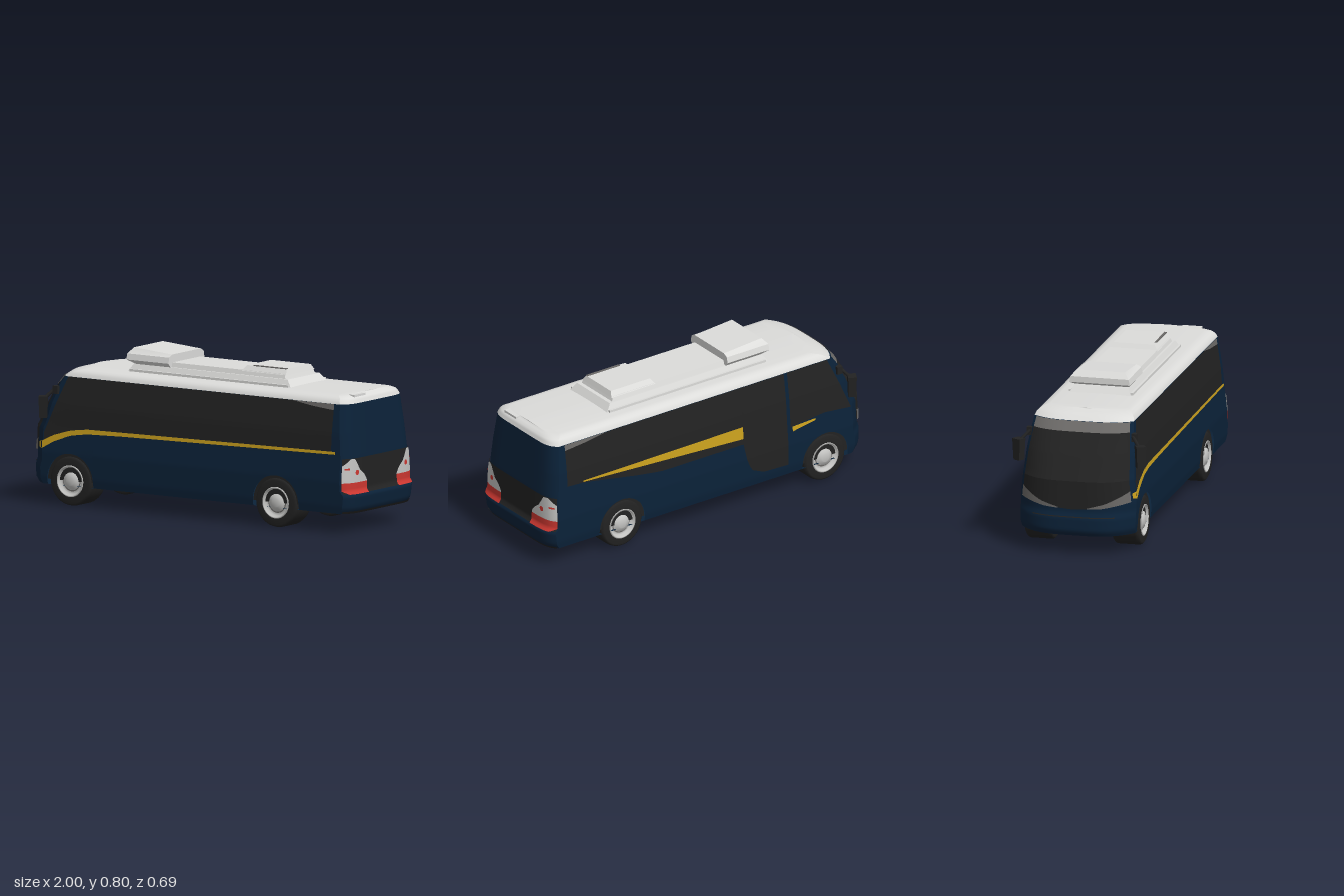
import * as THREE from 'three';

const paint = (name, color, side = THREE.DoubleSide) => {
  const m = new THREE.MeshStandardMaterial({ color, side });
  m.name = name;
  return m;
};

// Piecewise-linear curve through [input, value] pairs
const curve = (...pts) => (t) => {
  if (t <= pts[0][0]) return pts[0][1];
  for (let i = 1; i < pts.length; i++) {
    const [a, va] = pts[i - 1], [b, vb] = pts[i];
    if (t <= b) return va + (vb - va) * (t - a) / (b - a);
  }
  return pts[pts.length - 1][1];
};
const range = (a, b, n) => Array.from({ length: n + 1 }, (_, i) => a + (b - a) * i / n);

// Body rules by height: half width, front x, rear x, and depth of the rounded ends
const halfW = curve([0.1, 0.29], [0.14, 0.296], [0.26, 0.298], [0.38, 0.286], [0.5, 0.277], [0.645, 0.256],
  [0.66, 0.25], [0.672, 0.238], [0.68, 0.222], [0.685, 0.2]);
const frontX = curve([0.1, -0.985], [0.125, -1], [0.19, -1], [0.22, -0.988], [0.38, -0.988], [0.5, -0.92],
  [0.6, -0.855], [0.645, -0.815], [0.66, -0.795], [0.672, -0.775], [0.685, -0.72]);
const rearX = curve([0.1, 0.975], [0.125, 0.992], [0.19, 1], [0.215, 0.978], [0.38, 0.976], [0.645, 0.952],
  [0.672, 0.94], [0.685, 0.91]);
const noseD = curve([0.1, 0.12], [0.4, 0.12], [0.645, 0.06]);
const tailD = () => 0.045;

// Surface points: side walls by x, nose and tail by fraction s of the half width
const side = (sg) => (x, y, off) => [
  THREE.MathUtils.clamp(x, frontX(y) + noseD(y), rearX(y) - tailD()), y, sg * (halfW(y) + off)];
const nose = (s, y, off) => [frontX(y) + noseD(y) * Math.abs(s) ** 3.5 - off, y, s * (halfW(y) + off)];
const tail = (s, y, off) => [rearX(y) - tailD() * Math.abs(s) ** 8 + off, y, s * (halfW(y) + off)];
const bow = range(-Math.PI / 2, Math.PI / 2, 32).map(Math.sin);

// Surface through a grid of points
function grid(rows) {
  const n = rows[0].length, idx = [];
  for (let i = 0; i < rows.length - 1; i++)
    for (let j = 0; j < n - 1; j++) {
      const a = i * n + j, b = a + n;
      idx.push(a, b, a + 1, b, b + 1, a + 1);
    }
  const g = new THREE.BufferGeometry();
  g.setAttribute('position', new THREE.Float32BufferAttribute(rows.flat(2), 3));
  g.setIndex(idx);
  g.computeVertexNormals();
  return g;
}

// Patch of a body surface between two height curves
function patch(surface, us, lo, hi, off = 0, n = 12) {
  const f = (c, u) => (typeof c === 'number' ? c : c(u));
  return grid(us.map((u) => range(f(lo, u), f(hi, u), n).map((y) => surface(u, y, off))));
}

// Box whose top differs from its bottom: [x0, x1, half width, y]
function frustum(bottom, top) {
  const g = new THREE.BoxGeometry(1, 1, 1), p = g.attributes.position;
  for (let i = 0; i < p.count; i++) {
    const [x0, x1, w, y] = p.getY(i) > 0 ? top : bottom;
    p.setXYZ(i, p.getX(i) > 0 ? x1 : x0, y, Math.sign(p.getZ(i)) * w);
  }
  g.computeVertexNormals();
  return g;
}

export function createModel() {
  const navy = paint('navy paint', 0x0b2239), black = paint('black', 0x222222);
  const white = paint('white roof', 0xdcdcda), gray = paint('dark gray', 0x6b6967);
  const yellow = paint('yellow stripe', 0xcaa01e), red = paint('red lamp', 0xcc3730);
  const silver = paint('silver', 0xc4c4c2);
  const model = new THREE.Group();
  model.name = 'bus';
  const add = (name, geo, mat, parent = model) => {
    const m = new THREE.Mesh(geo, mat);
    m.name = name;
    parent.add(m);
    return m;
  };

  // Side walls with wheel arches
  const axles = [-0.7, 0.545], R = 0.125, A = 0.138;
  const arch = (x) => {
    const d = Math.min(...axles.map((c) => Math.abs(x - c)));
    return d <= A ? R + Math.sqrt(Math.max(0, A * A - d * d)) : 0.1;
  };
  const xs = [-0.95];
  for (const c of axles) {
    xs.push(c - A * 1.001, ...range(-Math.PI / 2, Math.PI / 2, 20).map((t) => c + A * 0.9999 * Math.sin(t)), c + A * 1.001);
    if (c < 0) xs.push(...range(-0.5, 0.35, 6));
  }
  xs.push(0.8, 1);
  for (const sg of [1, -1]) add('sideWall', patch(side(sg), xs, arch, 0.645, 0, 48), navy);
  add('nose', patch(nose, bow, 0.1, 0.645, 0, 48), navy);
  add('tail', patch(tail, bow, 0.1, 0.645, 0, 48), navy);

  // Closed outline of the body at one height
  const ring = (y, k = 1, lift = 0) => [...bow.map((s) => nose(s, y, 0)), ...[...bow].reverse().map((s) => tail(s, y, 0)),
    nose(-1, y, 0)].map(([x, py, z]) => [x, py + lift, z * k]);
  const floor = new THREE.ShapeGeometry(new THREE.Shape(ring(0.1).map(([x, , z]) => new THREE.Vector2(x, z))));
  add('underside', floor.rotateX(Math.PI / 2).translate(0, 0.1, 0), navy);
  add('roof', grid([...[0.645, 0.66, 0.672, 0.68, 0.685].map((y) => ring(y)), ring(0.685, 0.5, 0.003), ring(0.685, 0, 0.004)]), white);

  // Windscreen, visor, grille and head lamps
  const face = bow.filter((s) => Math.abs(s) < 0.93);
  add('windscreen', patch(nose, face, 0.38, 0.6, 0.005, 20), black);
  add('visor', patch(nose, face, 0.6, 0.645, 0.005, 4), gray);
  const chin = curve([-0.93, 0.27], [-0.5, 0.245], [0, 0.235], [0.5, 0.245], [0.93, 0.27]);
  add('grille', patch(nose, face, chin, 0.38, 0.005), black);
  for (const sg of [1, -1])
    add('headLamp', patch(nose, range(0.25, 0.92, 14).map((s) => s * sg), chin,
      (s) => curve([0.25, 0.245], [0.55, 0.27], [0.8, 0.305], [0.92, 0.325])(Math.abs(s)), 0.008), gray);
  add('lowerGrilleLine', patch(nose, face.filter((s) => Math.abs(s) < 0.75), 0.195, 0.2, 0.003, 2), black);

  // Left side: long window, sweeping stripe, rear wedge
  const L = side(1), RS = side(-1);
  const sweep = curve([-0.9, 0.3], [-0.8, 0.35], [-0.7, 0.38], [-0.6, 0.393], [0, 0.4], [0.9, 0.41]);
  const wedge = curve([-0.86, 0.36], [-0.8, 0.5], [-0.735, 0.645], [0.62, 0.645], [0.74, 0.627], [0.875, 0.615]);
  const longXs = [...range(-0.86, -0.735, 8), ...range(-0.7, 0.5, 12), ...range(0.62, 0.875, 6)];
  add('leftWindow', patch(L, longXs, sweep, wedge, 0.003, 24), black);
  add('leftRearWedge', patch(L, range(0.62, 0.875, 6), wedge, 0.645, 0.003, 3), gray);
  const thick = curve([-0.9, 0.04], [-0.7, 0.026], [-0.4, 0.02], [0.9, 0.014]);
  add('leftStripe', patch(L, [...range(-0.868, -0.6, 12), ...range(-0.5, 0.9, 12)], (x) => sweep(x) - thick(x), sweep, 0.005, 4), yellow);
  add('leftStripeTip', patch(nose, range(0.95, 1, 4), curve([0.95, 0.285], [1, 0.28]), curve([0.95, 0.31], [1, 0.317]), 0.005, 3), yellow);

  // Right side: window, tapering stripe, door and cab window
  const sill = curve([-0.2, 0.345], [0.3, 0.345], [0.45, 0.365], [0.77, 0.42], [0.875, 0.425]);
  add('rightWindow', patch(RS, range(-0.2, 0.875, 24), sill, wedge, 0.003, 24), black);
  add('rightRearWedge', patch(RS, range(0.62, 0.875, 6), wedge, 0.645, 0.003, 3), gray);
  add('rightStripe', patch(RS, range(-0.2, 0.78, 10), curve([-0.2, 0.375], [0.78, 0.425]), curve([-0.2, 0.44], [0.78, 0.432]), 0.006, 6), yellow);
  add('door', patch(RS, range(-0.47, -0.2, 16), curve([-0.47, 0.155], [-0.32, 0.16], [-0.25, 0.19], [-0.22, 0.24], [-0.2, 0.345]), 0.645, 0.003, 24), black);
  add('cabWindow', patch(RS, [...range(-0.86, -0.735, 8), ...range(-0.7, -0.49, 5)], curve([-0.86, 0.36], [-0.7, 0.375], [-0.49, 0.355]), wedge, 0.003, 24), black);
  add('cabStripe', patch(RS, range(-0.64, -0.5, 4), curve([-0.64, 0.352], [-0.5, 0.33]), curve([-0.64, 0.362], [-0.5, 0.356]), 0.005, 3), yellow);

  // Tail panel and lamps
  const back = bow.filter((s) => Math.abs(s) < 0.99);
  add('tailPanel', patch(tail, back, 0.2, 0.376, 0.003), black);
  add('rearSkirt', patch(tail, back, 0.1, 0.112, 0.003, 2), black);
  for (const sg of [1, -1]) {
    const lampXs = [...range(0.43, 0.8, 8), ...range(0.84, 0.98, 8)].map((s) => s * sg);
    add('tailLampRed', patch(tail, lampXs, (s) => curve([0.9, 0.199], [0.98, 0.215])(Math.abs(s)), 0.255, 0.006, 6), red);
    add('tailLampClear', patch(tail, lampXs, 0.255,
      (s) => curve([0.43, 0.262], [0.5, 0.292], [0.62, 0.315], [0.76, 0.374], [0.85, 0.375], [0.98, 0.34])(Math.abs(s)), 0.006), silver);
    const dot = (s) => Math.sqrt(Math.max(0, 0.013 ** 2 - ((Math.abs(s) - 0.7) * 0.29) ** 2));
    add('reverseDot', patch(tail, range(0.655, 0.745, 10).map((s) => s * sg), (s) => 0.305 - dot(s), (s) => 0.305 + dot(s), 0.008, 2), red);
    add('sideTick', patch(tail, range(0.86, 0.95, 3).map((s) => s * sg), 0.32, 0.329, 0.008, 2), red);
  }

  // Roof equipment
  const unit = new THREE.Group();
  unit.name = 'roofUnit';
  model.add(unit);
  add('unitBase', frustum([-0.45, 0.545, 0.16, 0.68], [-0.42, 0.51, 0.14, 0.722]), white, unit);
  add('unitDeck', frustum([-0.4, 0.49, 0.13, 0.72], [-0.38, 0.48, 0.122, 0.745]), white, unit);
  add('frontPodLower', frustum([-0.37, -0.2, 0.125, 0.705], [-0.455, -0.2, 0.157, 0.742]), white, unit);
  add('frontPodUpper', frustum([-0.455, -0.2, 0.157, 0.742], [-0.455, -0.2, 0.15, 0.772]), white, unit);
  const crown = add('frontPodCrown', frustum([-0.455, -0.2, 0.15, 0.772], [-0.43, -0.2, 0.125, 0.802]), white, unit);
  const cp = crown.geometry.attributes.position;
  for (let i = 0; i < cp.count; i++) if (cp.getY(i) > 0.79 && cp.getX(i) > -0.3) cp.setY(i, 0.785);
  crown.geometry.computeVertexNormals();
  add('rearPod', frustum([0.22, 0.49, 0.125, 0.74], [0.24, 0.48, 0.105, 0.768]), white, unit);
  add('rearVent', new THREE.BoxGeometry(0.2, 0.006, 0.012).translate(0.38, 0.768, 0.1), gray, unit);
  for (const sg of [1, -1])
    add('roofRail', new THREE.BoxGeometry(0.96, 0.012, 0.012).translate(0.05, 0.692, sg * 0.16), white, unit);
  add('roofMarker', new THREE.BoxGeometry(0.06, 0.022, 0.1).translate(0.905, 0.674, 0.12), white);

  // Mirrors
  for (const sg of [1, -1]) {
    const mirror = new THREE.Group();
    mirror.name = 'mirror';
    model.add(mirror);
    const housing = add('mirrorHousing', frustum([-0.018, 0.018, 0.02, -0.055], [-0.022, 0.022, 0.025, 0.055]), black, mirror);
    housing.position.set(-0.85, 0.49, sg * 0.313);
    housing.rotation.y = sg * 0.5;
    const arm = new THREE.LineCurve3(new THREE.Vector3(-0.81, 0.58, sg * 0.265), new THREE.Vector3(-0.85, 0.53, sg * 0.31));
    add('mirrorArm', new THREE.TubeGeometry(arm, 1, 0.009, 6), black, mirror);
    add('armMount', new THREE.BoxGeometry(0.03, 0.04, 0.025).translate(-0.8, 0.575, sg * 0.27), black, mirror);
  }

  // Wheels and arch liners
  const lathe = (pts) => new THREE.LatheGeometry(pts.map(([r, y]) => new THREE.Vector2(r, y)), 36).rotateX(Math.PI / 2);
  const H = 0.07;
  const tyre = lathe([[0.078, -H], [0.112, -H], [0.122, -H + 0.008], [R, -H + 0.02], [R, H - 0.02], [0.122, H - 0.008], [0.112, H], [0.078, H]]);
  const rim = lathe([[0, -H + 0.03], [0.07, -H + 0.03], [0.08, -H], [0.08, H + 0.001], [0.073, H + 0.003], [0.066, H - 0.016],
    [0.045, H - 0.016], [0.042, H - 0.004], [0.026, H - 0.002], [0.022, H + 0.004], [0, H + 0.004]]);
  const groove = new THREE.RingGeometry(0.047, 0.053, 32).translate(0, 0, H - 0.014);
  for (const x of axles)
    for (const sg of [1, -1]) {
      const wheel = new THREE.Group();
      wheel.name = 'wheel';
      wheel.position.set(x, R, sg * 0.225);
      if (sg < 0) wheel.rotation.y = Math.PI;
      model.add(wheel);
      add('tyre', tyre, black, wheel);
      add('rim', rim, silver, wheel);
      add('rimGroove', groove, gray, wheel);
      const liner = new THREE.CylinderGeometry(A + 0.003, A + 0.003, 0.12, 24, 1, false, Math.PI / 2, Math.PI);
      add('archLiner', liner.rotateX(Math.PI / 2), black, wheel);
    }
  return model;
}
